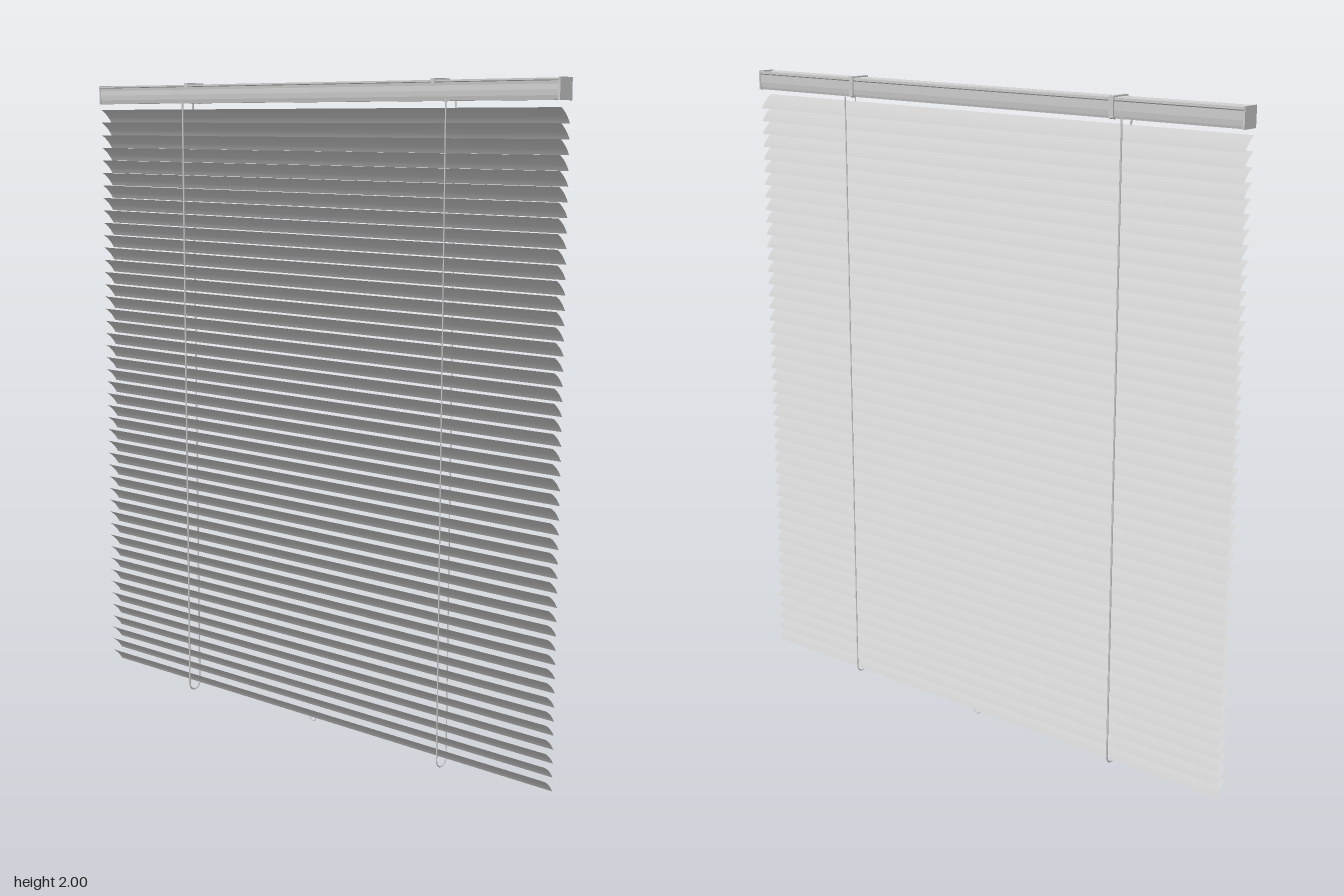
import * as THREE from 'three';

const grey = new THREE.MeshStandardMaterial({ color: 0xcccccc });
const thin = new THREE.MeshStandardMaterial({ color: 0xcccccc, side: THREE.DoubleSide });

function add(parent, name, geometry, x = 0, y = 0, z = 0, material = grey) {
  const mesh = new THREE.Mesh(geometry, material);
  mesh.name = name;
  mesh.position.set(x, y, z);
  parent.add(mesh);
  return mesh;
}

// Extrudes a [z, y] outline along x, centred on x = 0
function extrudeAlongX(points, width) {
  const shape = new THREE.Shape(points.map(([z, y]) => new THREE.Vector2(-z, y)));
  const geometry = new THREE.ExtrudeGeometry(shape, { depth: width, bevelEnabled: false });
  return geometry.translate(0, 0, -width / 2).rotateY(Math.PI / 2);
}

// Crowned strip, tilted with its front edge high
function slatGeometry(width, depth, height, crown) {
  const geometry = new THREE.PlaneGeometry(width, 2, 1, 6);
  const pos = geometry.attributes.position;
  for (let i = 0; i < pos.count; i++) {
    const t = -pos.getY(i);
    const bulge = crown * (1 - t * t) * Math.SQRT1_2;
    pos.setY(i, t * height / 2 + bulge);
    pos.setZ(i, t * depth / 2 - bulge);
  }
  geometry.computeVertexNormals();
  return geometry;
}

// Ladder cord: down the front, round the bottom, up the back
function cordGeometry(radius) {
  const r = 0.023, top = 1.945;
  const path = new THREE.CurvePath();
  const points = [new THREE.Vector3(0, top, r)];
  for (let i = 0; i <= 10; i++) {
    const a = Math.PI * i / 10;
    points.push(new THREE.Vector3(0, r + radius - r * Math.sin(a), r * Math.cos(a)));
  }
  points.push(new THREE.Vector3(0, top, -r));
  for (let i = 1; i < points.length; i++) path.add(new THREE.LineCurve3(points[i - 1], points[i]));
  return new THREE.TubeGeometry(path, 700, radius, 6);
}

export function createModel() {
  const model = new THREE.Group();
  model.name = 'venetianBlind';

  // Head rail with a shallow rounded front and folded lips
  const rail = [
    [0.023, 1.938], [0.026, 1.95], [0.027, 1.965], [0.026, 1.98], [0.027, 1.988],
    [0.031, 1.99], [0.031, 1.995], [0.022, 1.995], [0.02, 1.992],
    [-0.017, 1.992], [-0.02, 1.995], [-0.031, 1.995], [-0.031, 1.988],
    [-0.027, 1.985], [-0.027, 1.96], [-0.025, 1.945], [-0.023, 1.938],
  ];
  add(model, 'headRail', extrudeAlongX(rail, 1.79));
  for (const side of [-1, 1]) {
    add(model, 'endCap', new THREE.BoxGeometry(0.006, 0.06, 0.058), side * 0.895, 1.967, 0);
  }

  // Mounting brackets hooked over the top and down the back
  const bracket = [
    [0.034, 1.986], [0.034, 2], [-0.037, 2], [-0.037, 1.94], [-0.024, 1.936],
    [-0.024, 1.941], [-0.032, 1.945], [-0.032, 1.996], [0.031, 1.996], [0.031, 1.986],
  ];
  for (const x of [-0.485, 0.485]) {
    add(model, 'bracket', extrudeAlongX(bracket, 0.015)).position.x = x;
  }

  // Slats
  const slats = new THREE.Group();
  slats.name = 'slats';
  model.add(slats);
  const slat = slatGeometry(1.796, 0.043, 0.042, 0.004);
  const count = 46;
  for (let i = 0; i < count; i++) {
    add(slats, 'slat', slat, 0, 0.042 + i * (1.856 / (count - 1)), 0, thin);
  }

  // Ladder cords
  add(model, 'rightCord', cordGeometry(0.0028), -0.512);
  add(model, 'leftCord', cordGeometry(0.002), 0.523);

  // Small pull loop under the lowest slat
  const loop = new THREE.TorusGeometry(0.012, 0.0015, 6, 16, Math.PI).rotateZ(Math.PI);
  add(model, 'pullLoop', loop, 0, 0.022, -0.019);

  return model;
}
